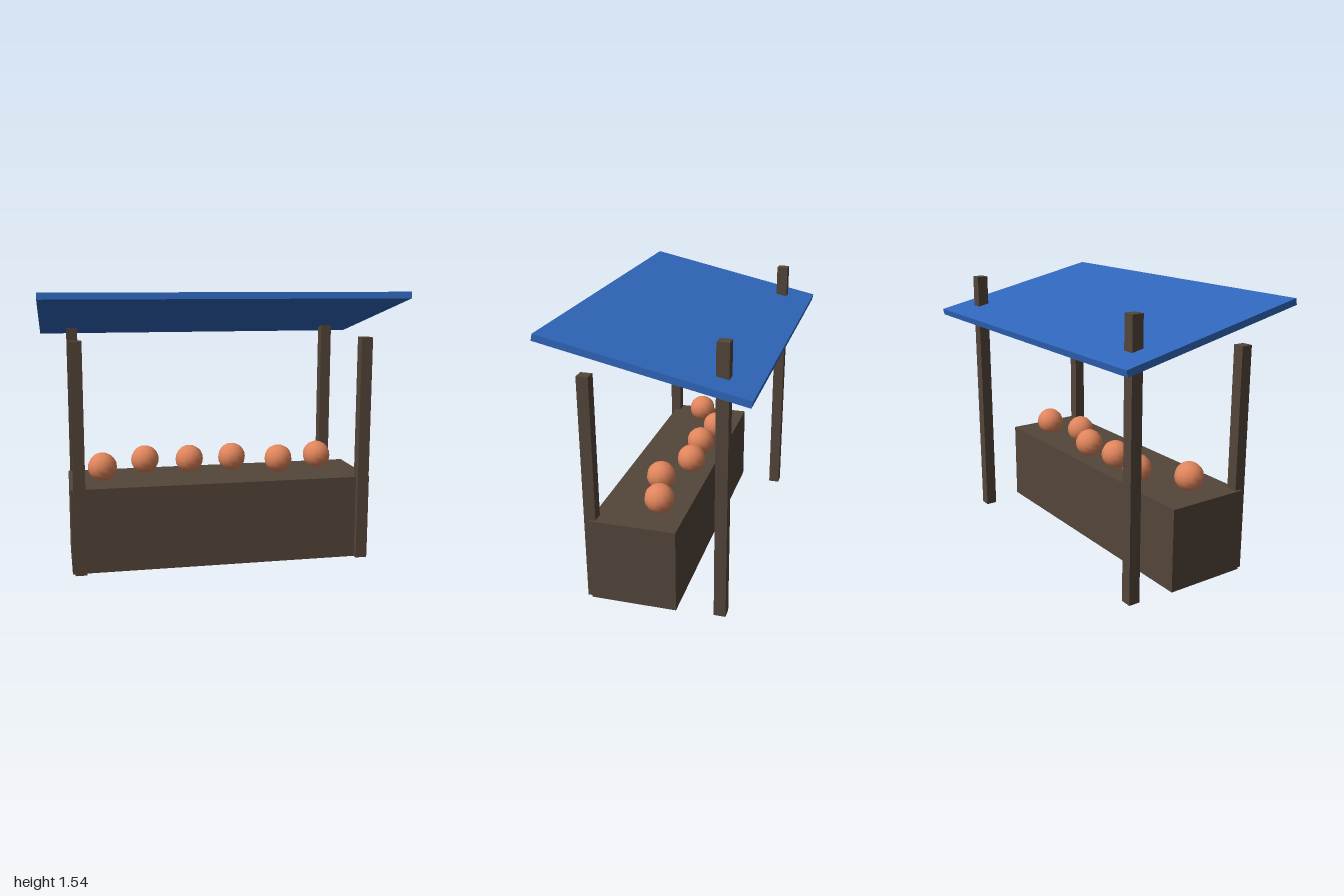
import * as THREE from 'three';

export function createModel() {
  const group = new THREE.Group();
  const wood = new THREE.MeshStandardMaterial({ name: 'dark wood', color: 0x54463a });
  const blue = new THREE.MeshStandardMaterial({ name: 'blue awning', color: 0x3067bd });
  const orange = new THREE.MeshStandardMaterial({ name: 'orange fruit', color: 0xe0855c });

  const add = (name, geometry, material, x, y, z) => {
    const mesh = new THREE.Mesh(geometry, material);
    mesh.name = name;
    mesh.position.set(x, y, z);
    group.add(mesh);
    return mesh;
  };

  // Counter
  add('counter', new THREE.BoxGeometry(1.714, 0.478, 0.48), wood, 0, 0.239, 0.12);

  // Posts: short at the front, tall through the awning at the back
  for (const [side, sx] of [['left', 1], ['right', -1]]) {
    for (const [end, height, z] of [['Front', 1.287, 0.358], ['Back', 1.525, -0.358]]) {
      add(side + end + 'Post', new THREE.BoxGeometry(0.065, height, 0.065), wood, sx * 0.81, height / 2, z);
    }
  }

  // Sloping awning, raised at the front
  const awning = add('awning', new THREE.BoxGeometry(2, 0.036, 1.092), blue, 0, 1.408, 0);
  awning.rotation.x = -0.214;

  // Row of fruit, unevenly placed front to back
  const fruit = new THREE.SphereGeometry(0.083, 12, 10);
  [0.137, -0.024, 0.011, -0.002, 0.104, 0.032].forEach((z, i) => {
    add('fruit' + (i + 1), fruit, orange, -0.669 + i * 0.262, 0.551, z);
  });

  return group;
}
